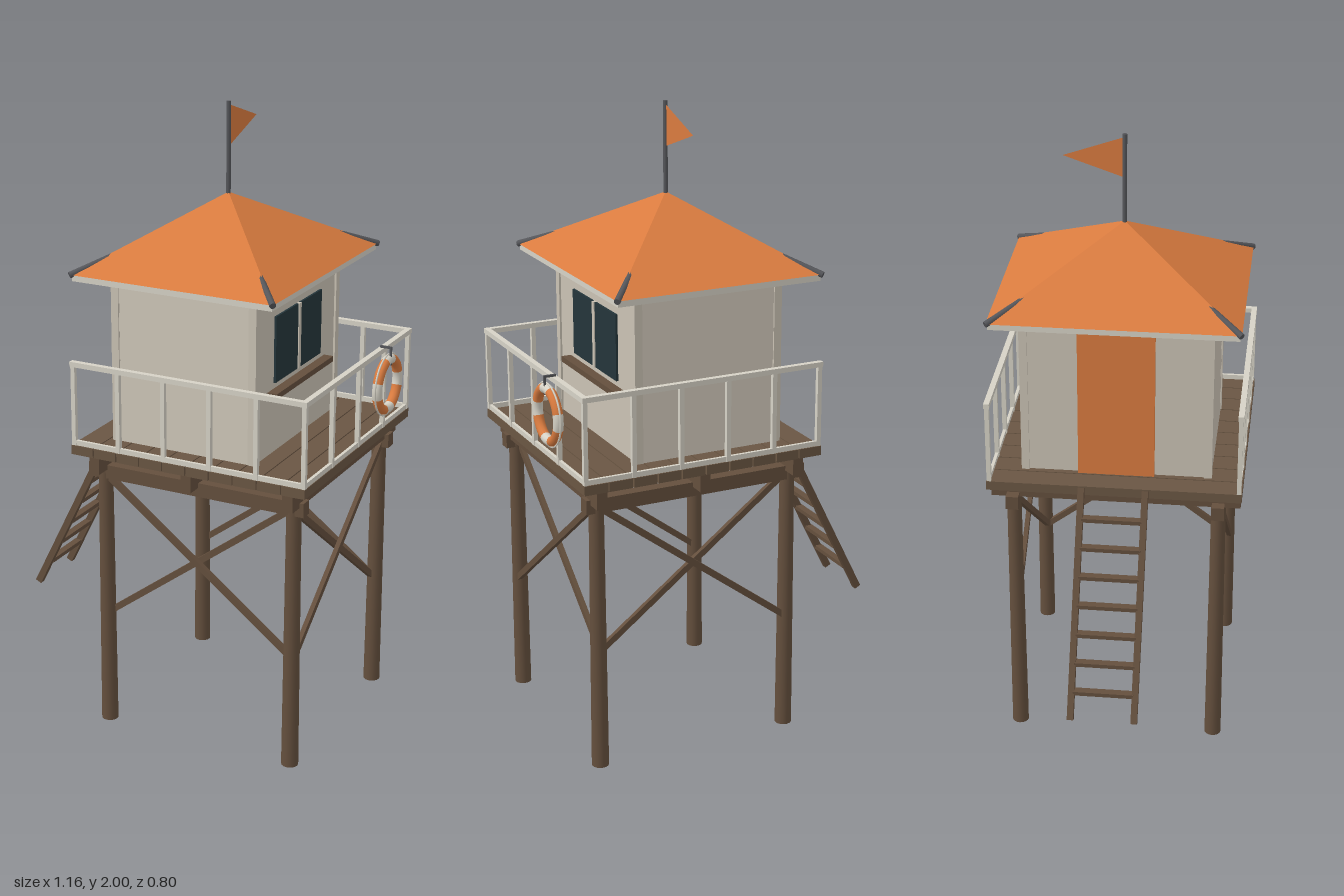
import * as THREE from 'three';

const mat = (name, color, extra = {}) => {
  const m = new THREE.MeshStandardMaterial({ color, ...extra });
  m.name = name;
  return m;
};

export function createModel() {
  const model = new THREE.Group();
  model.name = 'lookoutHut';
  const wood = mat('brown timber', 0x644f3d);
  const deckWood = mat('deck timber', 0x6a5643);
  const wall = mat('wall paint', 0xcac2b4);
  const trim = mat('pale trim', 0xd6d2c6);
  const orange = mat('orange paint', 0xd97b3f);
  const flagCloth = mat('orange cloth', 0xd97b3f, { side: THREE.DoubleSide });
  const glass = mat('dark glass', 0x24353a);
  const metal = mat('dark metal', 0x55565a);

  const add = (name, geo, material, x = 0, y = 0, z = 0, parent = model) => {
    const m = new THREE.Mesh(geo, material);
    m.name = name;
    m.position.set(x, y, z);
    parent.add(m);
    return m;
  };
  const box = (name, material, w, h, d, x, y, z) =>
    add(name, new THREE.BoxGeometry(w, h, d), material, x, y, z);
  // Straight member between two points; round when only one size is given
  const bar = (name, material, a, b, w, d) => {
    const p = new THREE.Vector3(...a), q = new THREE.Vector3(...b);
    const len = p.distanceTo(q);
    const geo = d ? new THREE.BoxGeometry(w, len, d) : new THREE.CylinderGeometry(w, w, len, 10);
    const m = add(name, geo, material);
    m.position.copy(p).lerp(q, 0.5);
    m.quaternion.setFromUnitVectors(new THREE.Vector3(0, 1, 0), q.sub(p).normalize());
    return m;
  };

  const LX = [-0.17, 0.48], LZ = 0.325, CX = 0.09, DECK = 0.965;

  // Legs and the beams they carry
  for (const s of [-1, 1]) {
    for (const x of LX) {
      add('leg', new THREE.CylinderGeometry(0.023, 0.027, 0.88, 16), wood, x, 0.44, s * LZ);
    }
    box('beam', wood, 0.74, 0.045, 0.04, 0.15, 0.873, s * LZ);
  }
  for (const x of [-0.17, 0.15, 0.49]) box('joist', wood, 0.034, 0.057, 0.79, x, 0.909, 0);

  // Crossed braces on the front, back and left faces
  for (const s of [-1, 1]) {
    const z = s * LZ;
    bar('sideBrace', wood, [LX[0], 0.868, z + 0.008], [LX[1], 0.378, z + 0.008], 0.02, 0.015);
    bar('sideBrace', wood, [LX[0], 0.378, z - 0.008], [LX[1], 0.868, z - 0.008], 0.02, 0.015);
    bar('endBrace', wood, [LX[1] + s * 0.009, 0.868, -s * LZ], [LX[1] + s * 0.009, 0.378, s * LZ], 0.015, 0.02);
  }

  // Deck planks
  for (let i = 0; i < 10; i++) {
    box('deckPlank', deckWood, 0.076, 0.03, 0.8, -0.21 + i * 0.08, DECK - 0.015, 0);
  }

  // Ladder
  const foot = [-0.573, 0.31], head = [-0.248, 0.96];
  for (const s of [-1, 1]) {
    bar('ladderRail', wood, [...foot, s * 0.1], [...head, s * 0.1], 0.022, 0.02);
  }
  for (let i = 0; i < 7; i++) {
    const y = 0.39 + i * 0.0807;
    const x = foot[0] + (y - foot[1]) * (head[0] - foot[0]) / (head[1] - foot[1]);
    box('ladderRung', wood, 0.025, 0.013, 0.19, x, y, 0);
  }

  // Railing on three sides, open at the ladder
  const RX0 = -0.24, RX1 = 0.541, RZ = 0.391, RT = 1.229;
  const post = (x, z) => box('railPost', trim, 0.014, RT - DECK, 0.014, x, (RT + DECK) / 2, z);
  for (const s of [-1, 1]) {
    for (let i = 0; i < 6; i++) post(RX0 + (i * (RX1 - RX0)) / 5, s * RZ);
    box('topRail', trim, RX1 - RX0 + 0.018, 0.016, 0.018, (RX0 + RX1) / 2, RT, s * RZ);
    box('toeBoard', trim, RX1 - RX0 + 0.01, 0.016, 0.01, (RX0 + RX1) / 2, DECK + 0.008, s * RZ);
  }
  for (const z of [-0.195, 0, 0.195]) post(RX1, z);
  box('topRail', trim, 0.018, 0.016, RZ * 2, RX1, RT, 0);
  box('toeBoard', trim, 0.01, 0.016, RZ * 2, RX1, DECK + 0.008, 0);

  // Cabin: core, lapped siding and corner boards
  const HX = 0.24, HZ = 0.295, TOP = 1.5, H = TOP - DECK;
  box('cabinWalls', wall, HX * 2, H, HZ * 2 - 0.012, CX, DECK + H / 2, 0);
  const rows = 6, rowH = H / rows;
  for (const s of [-1, 1]) {
    for (let i = 0; i < rows; i++) {
      const b = box('sidingBoard', wall, HX * 2 - 0.02, rowH, 0.01, CX, DECK + (i + 0.5) * rowH, s * (HZ - 0.005));
      b.rotation.x = -s * 0.07;
    }
    for (const t of [-1, 1]) {
      box('cornerBoard', wall, 0.025, H, 0.025, CX + t * (HX - 0.006), DECK + H / 2, s * (HZ - 0.007));
    }
  }

  // Door on the ladder side
  box('door', orange, 0.016, 0.485, 0.24, CX - HX - 0.006, DECK + 0.2425, 0);

  // Window with two panes, frame and shelf
  const WX = CX + HX;
  for (const s of [-1, 1]) {
    box('windowPane', glass, 0.008, 0.21, 0.155, WX + 0.003, 1.295, s * 0.086);
  }
  box('windowMullion', wall, 0.012, 0.21, 0.016, WX + 0.004, 1.295, 0);
  box('windowShelf', wood, 0.04, 0.018, 0.41, WX + 0.012, 1.162, 0);

  // Roof: eave slab, pyramid and hip rods
  const EX = 0.34, EZ = 0.385, EY = 1.508, APEX = 1.72;
  box('eave', trim, EX * 2 - 0.01, 0.02, EZ * 2 - 0.01, CX, EY - 0.01, 0);
  const cone = new THREE.ConeGeometry(Math.SQRT2, APEX - EY, 4);
  cone.rotateY(Math.PI / 4).scale(EX, 1, EZ);
  const roof = cone.toNonIndexed();
  roof.computeVertexNormals();
  add('roof', roof, orange, CX, (APEX + EY) / 2, 0);
  for (const s of [-1, 1]) {
    for (const t of [-1, 1]) {
      bar('hipRod', metal, [CX + s * EX, EY - 0.001, t * EZ], [CX, APEX - 0.04, 0], 0.01);
    }
  }

  // Flagpole and pennant
  add('flagpole', new THREE.CylinderGeometry(0.007, 0.007, 0.31, 12), metal, CX, 1.845, 0);
  const pennant = new THREE.Shape([[0, 1.86], [0.19, 1.925], [0, 1.99]].map((p) => new THREE.Vector2(...p)));
  add('flag', new THREE.ShapeGeometry(pennant), flagCloth, CX).rotation.y = Math.PI / 2;

  // Life ring: orange and pale arcs, grab rope and hook
  const ring = new THREE.Group();
  ring.name = 'lifeRing';
  ring.position.set(0.565, 1.12, -0.17);
  ring.rotation.y = Math.PI / 2;
  model.add(ring);
  const pale = 0.6;
  for (let i = 0; i < 4; i++) {
    const a = (i * Math.PI) / 2;
    const arc = (name, m, start, len) => {
      add(name, new THREE.TorusGeometry(0.081, 0.016, 12, 12, len), m, 0, 0, 0, ring).rotation.z = start;
    };
    arc('ringPaleBand', trim, a - pale / 2, pale);
    arc('ringOrangeBand', orange, a + pale / 2, Math.PI / 2 - pale);
  }
  add('ringRope', new THREE.TorusGeometry(0.099, 0.003, 6, 40), trim, 0, 0, 0, ring);
  box('hookArm', metal, 0.036, 0.007, 0.007, 0.556, 1.241, -0.17);
  box('hookDrop', metal, 0.006, 0.06, 0.007, 0.573, 1.214, -0.17);

  return model;
}
